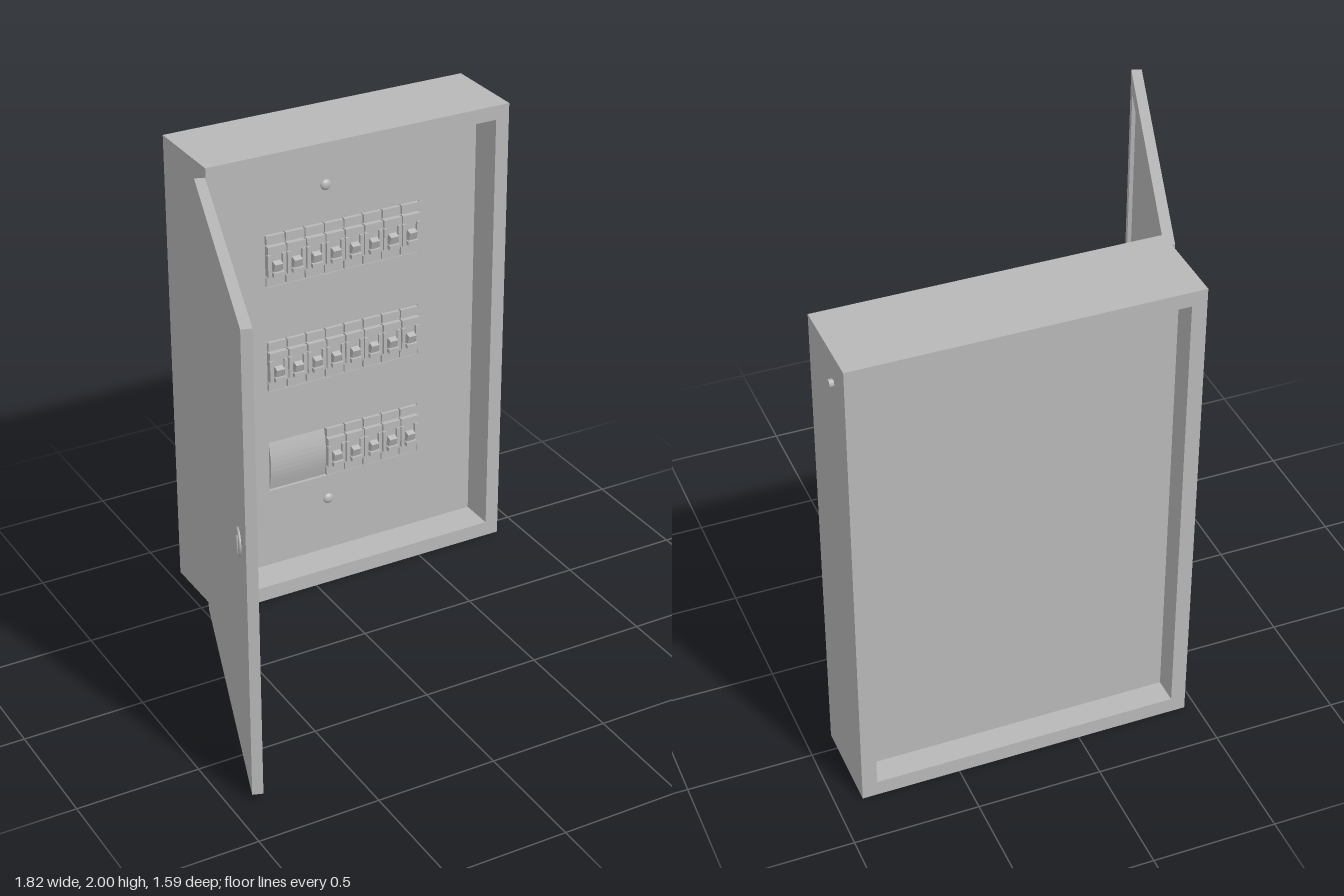
import * as THREE from 'three';

const paint = new THREE.MeshStandardMaterial({ color: 0xb8b8b8 });
paint.name = 'grey paint';

function add(parent, name, geometry, x = 0, y = 0, z = 0) {
  const mesh = new THREE.Mesh(geometry, paint);
  mesh.name = name;
  mesh.position.set(x, y, z);
  parent.add(mesh);
  return mesh;
}

// Box given by its limits
function block(parent, name, x0, x1, y0, y1, z0, z1) {
  return add(parent, name, new THREE.BoxGeometry(x1 - x0, y1 - y0, z1 - z0),
    (x0 + x1) / 2, (y0 + y1) / 2, (z0 + z1) / 2);
}

function trace(path, x0, x1, y0, y1) {
  path.moveTo(x0, y0);
  path.lineTo(x1, y0);
  path.lineTo(x1, y1);
  path.lineTo(x0, y1);
  path.closePath();
  return path;
}

// Rectangular slab with rectangular holes
function plate(parent, name, outer, holes, z0, z1) {
  const shape = trace(new THREE.Shape(), ...outer);
  for (const h of holes) shape.holes.push(trace(new THREE.Path(), ...h));
  return add(parent, name,
    new THREE.ExtrudeGeometry(shape, { depth: z1 - z0, bevelEnabled: false }), 0, 0, z0);
}

// Disc with its axis along z
function disc(parent, name, r, depth, x, y, z) {
  const geometry = new THREE.CylinderGeometry(r, r, depth, 32).rotateX(Math.PI / 2);
  return add(parent, name, geometry, x, y, z);
}

// Side profile [z, y] drawn out along x
function profile(parent, name, points, x0, x1, y, z) {
  const shape = new THREE.Shape(points.map(([pz, py]) => new THREE.Vector2(-pz, py)));
  const geometry = new THREE.ExtrudeGeometry(shape, { depth: x1 - x0, bevelEnabled: false });
  geometry.rotateY(Math.PI / 2);
  return add(parent, name, geometry, x0, y, z);
}

const PANEL = -0.57;
const BACK = -0.68;
const LEFT = -0.135, RIGHT = 0.57, PITCH = (RIGHT - LEFT) / 8, HIGH = 0.23;

function breaker(parent, x, y) {
  const g = new THREE.Group();
  g.name = 'breaker';
  g.position.set(x, y, PANEL);
  parent.add(g);
  const a = 0.003, b = PITCH - 0.003;
  // Stepped body: low ends and a raised middle
  profile(g, 'breakerBody', [[-0.06, 0.004], [-0.004, 0.004], [-0.004, 0.05], [0.008, 0.055],
    [0.008, 0.155], [-0.004, 0.16], [-0.004, 0.226], [-0.06, 0.226]], a, b, 0, 0);
  block(g, 'upperCap', a, b, 0.188, 0.226, -0.01, 0.008);
  block(g, 'upperStep', a, b, 0.15, 0.183, -0.01, 0.02);
  block(g, 'lowerCap', a, b, 0.004, 0.045, -0.01, 0.004);
  // Cheeks either side of the switch
  block(g, 'cheek', a, a + 0.016, 0.05, 0.145, 0, 0.02);
  block(g, 'cheek', b - 0.016, b, 0.05, 0.145, 0, 0.02);
  // Switch lever
  const lever = block(g, 'lever', 0.026, PITCH - 0.026, 0.055, 0.115, 0.002, 0.028);
  lever.rotation.x = 0.35;
  block(g, 'leverTip', 0.02, PITCH - 0.02, 0.055, 0.073, 0.015, 0.036);
}

function hinge(parent, y0) {
  const g = new THREE.Group();
  g.name = 'hinge';
  parent.add(g);
  const h = 0.16;
  block(g, 'frameLeaf', -0.45, -0.4, y0, y0 + h, -0.424, -0.412);
  for (const t of [0.03, 0.13]) disc(g, 'leafScrew', 0.011, 0.012, -0.418, y0 + t, -0.408);
  // Split barrel
  for (let i = 0; i < 3; i++) {
    add(g, 'barrel', new THREE.CylinderGeometry(0.014, 0.014, h / 3 - 0.006, 16),
      -0.447, y0 + h * (i + 0.5) / 3, -0.408);
  }
}

export function createModel() {
  const model = new THREE.Group();
  model.name = 'distributionBoard';

  // Cabinet shell, open at front and back
  const cabinet = new THREE.Group();
  cabinet.name = 'cabinet';
  model.add(cabinet);
  const inner = [-0.395, 0.835, 0.065, 1.94];
  plate(cabinet, 'shell', [-0.455, 0.895, 0, 2], [inner], -0.795, -0.42);

  // Mounting panel with three windows, and the plate behind it
  const rows = [1.36, 0.888, 0.422];
  plate(cabinet, 'frontPanel', inner, rows.map(y => [LEFT, RIGHT, y, y + HIGH]), PANEL - 0.02, PANEL);
  block(cabinet, 'backPlate', ...inner, BACK - 0.01, BACK);

  // Breaker rows; the lowest begins with a blank cover
  rows.forEach((y, r) => {
    for (let i = r === 2 ? 3 : 0; i < 8; i++) breaker(cabinet, LEFT + i * PITCH, y);
  });
  const arc = [];
  for (let i = 0; i <= 10; i++) {
    const t = i / 10;
    arc.push([-0.008 + 0.018 * Math.sin(Math.PI * t), 0.004 + 0.222 * t]);
  }
  profile(cabinet, 'blankCover', [[-0.05, 0.004], ...arc, [-0.05, 0.226]],
    LEFT + 0.003, LEFT + 3 * PITCH - 0.002, rows[2], PANEL);

  // Domed panel screws
  for (const y of [0.31, 1.75]) {
    const dome = new THREE.SphereGeometry(0.023, 24, 8, 0, Math.PI * 2, 0, Math.PI / 2);
    dome.scale(1, 0.6, 1).rotateX(Math.PI / 2);
    add(cabinet, 'panelScrew', dome, 0.14, y, PANEL);
  }

  // Earth stud on the side wall
  const stud = new THREE.CylinderGeometry(0.016, 0.016, 0.02, 6).rotateZ(Math.PI / 2);
  add(cabinet, 'sideStud', stud, 0.902, 1.88, -0.675);

  // Open door: local x runs along it, local z points out of its outer face
  const door = new THREE.Group();
  door.name = 'door';
  door.position.set(-0.455, 0, -0.425);
  door.rotation.y = -1.902;
  model.add(door);
  plate(door, 'doorRim', [0, 1.285, 0.03, 1.96], [[0.08, 1.215, 0.108, 1.885]], 0, 0.016);
  block(door, 'doorSkin', 0, 1.285, 0.03, 1.96, 0.016, 0.042);
  disc(door, 'lockInside', 0.056, 0.022, 1.105, 1.02, 0.007);
  disc(door, 'lockFace', 0.04, 0.008, 1.105, 1.02, 0.044);
  add(door, 'lockRing', new THREE.TorusGeometry(0.047, 0.008, 10, 32), 1.105, 1.02, 0.043);
  block(door, 'lockKey', 1.098, 1.112, 0.995, 1.045, 0.044, 0.052);

  // Hinges with a leaf on the door for each
  for (const y of [0.405, 1.44]) {
    hinge(model, y);
    block(door, 'doorLeaf', 0.012, 0.06, y, y + 0.16, -0.008, 0.001);
    for (const t of [0.03, 0.13]) disc(door, 'leafScrew', 0.011, 0.008, 0.042, y + t, -0.009);
  }
  return model;
}
